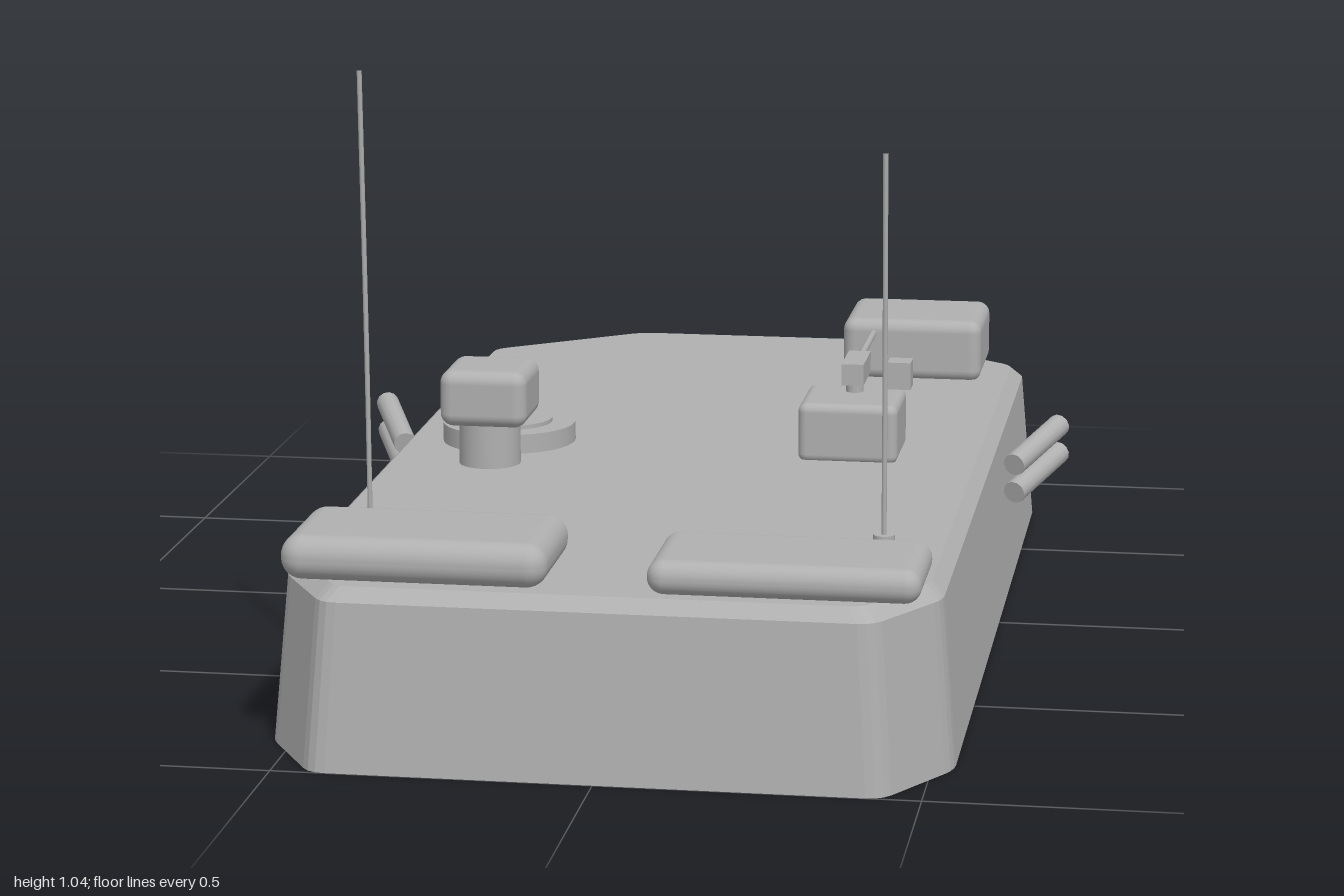
import * as THREE from 'three';
import { RoundedBoxGeometry } from 'three/addons/geometries/RoundedBoxGeometry.js';

const grey = new THREE.MeshStandardMaterial({ color: 0xb0b0b0 });
grey.name = 'plainGrey';

// Chamfered outline with slightly softened corners, counter-clockwise from above
function hullOutline() {
  const half = [[0.44, 1], [0.535, 0.84], [0.535, -0.8], [0.26, -1]];
  const corners = [...half, ...half.map(([x, z]) => [-x, z]).reverse()]
    .map(([x, z]) => new THREE.Vector2(x, z));
  const out = [];
  corners.forEach((c, i) => {
    const toward = (p) => c.clone().add(p.clone().sub(c).setLength(0.025));
    const curve = new THREE.QuadraticBezierCurve(
      toward(corners[(i + 7) % 8]), c, toward(corners[(i + 1) % 8]));
    out.push(...curve.getPoints(3));
  });
  return out;
}

// Tapered walls, bevelled rim, deck and underside
function hullGeometry() {
  const outline = hullOutline();
  const rings = [[0, 0], [0.264, 0.022], [0.285, 0.043]].map(([y, inset]) =>
    outline.map((p) => [p.x * (1 - inset / 0.535), y, p.y * (1 - inset)]));
  const pos = [];
  const tri = (a, b, c) => pos.push(...a, ...b, ...c);
  const n = outline.length;
  for (let i = 0; i < n; i++) {
    const j = (i + 1) % n;
    for (let k = 0; k < 2; k++) {
      const lo = rings[k], hi = rings[k + 1];
      tri(lo[i], lo[j], hi[j]);
      tri(lo[i], hi[j], hi[i]);
    }
    tri([0, 0.285, 0], rings[2][i], rings[2][j]);
    tri([0, 0, 0], rings[0][j], rings[0][i]);
  }
  const g = new THREE.BufferGeometry();
  g.setAttribute('position', new THREE.Float32BufferAttribute(pos, 3));
  g.computeVertexNormals();
  return g;
}

export function createModel() {
  const model = new THREE.Group();
  model.name = 'turret';

  const add = (name, geometry, x = 0, y = 0, z = 0) => {
    const mesh = new THREE.Mesh(geometry, grey);
    mesh.name = name;
    mesh.position.set(x, y, z);
    model.add(mesh);
    return mesh;
  };
  // Box given by its limits; r is the edge radius
  const box = (name, [x0, x1], [y0, y1], [z0, z1], r = 0) => {
    const size = [x1 - x0, y1 - y0, z1 - z0];
    const g = r ? new RoundedBoxGeometry(...size, 4, r) : new THREE.BoxGeometry(...size);
    return add(name, g, (x0 + x1) / 2, (y0 + y1) / 2, (z0 + z1) / 2);
  };
  const upright = (name, r, x, y0, y1, z, sides = 32) =>
    add(name, new THREE.CylinderGeometry(r, r, y1 - y0, sides), x, (y0 + y1) / 2, z);
  // Cylinder between two points
  const rod = (name, a, b, r, sides = 12) => {
    const from = new THREE.Vector3(...a), to = new THREE.Vector3(...b);
    const dir = to.clone().sub(from);
    const mesh = add(name, new THREE.CylinderGeometry(r, r, dir.length(), sides));
    mesh.position.copy(from).add(to).multiplyScalar(0.5);
    mesh.quaternion.setFromUnitVectors(new THREE.Vector3(0, 1, 0), dir.normalize());
    return mesh;
  };

  add('hull', hullGeometry());

  // Stowage on the deck
  box('frontBinRight', [-0.495, -0.08], [0.285, 0.355], [0.72, 0.953], 0.033);
  box('frontBinLeft', [0.073, 0.49], [0.285, 0.339], [0.74, 0.953], 0.026);
  box('rearBox', [0.19, 0.445], [0.28, 0.394], [-0.84, -0.62], 0.022);

  // Hatch and the sight beside it
  upright('hatchRing', 0.115, -0.325, 0.28, 0.318, -0.038, 40);
  upright('hatchLid', 0.075, -0.325, 0.3, 0.325, -0.038, 40);
  upright('sightStalk', 0.052, -0.325, 0.28, 0.37, 0.136);
  box('sightHead', [-0.398, -0.25], [0.36, 0.456], [0.062, 0.212], 0.022);

  // Gun on its pedestal
  box('gunPedestal', [0.19, 0.36], [0.28, 0.383], [-0.122, 0.045], 0.015);
  upright('gunPost', 0.015, 0.275, 0.38, 0.41, -0.07, 12);
  box('gunBody', [0.257, 0.295], [0.403, 0.44], [-0.135, -0.022]);
  box('ammoBox', [0.332, 0.372], [0.39, 0.437], [-0.103, -0.06]);
  rod('gunBarrel', [0.275, 0.425, -0.13], [0.275, 0.425, -0.355], 0.006);

  // Whip aerials with a slight backward bend
  for (const [x, top, tipZ] of [[-0.411, 1.04, 0.706], [0.406, 0.93, 0.702]]) {
    upright('aerialBase', 0.017, x, 0.28, 0.325, 0.676, 16);
    const path = new THREE.CatmullRomCurve3([
      new THREE.Vector3(x, 0.31, 0.676),
      new THREE.Vector3(x, 0.6, 0.684),
      new THREE.Vector3(x, top, tipZ),
    ]);
    add('aerialWhip', new THREE.TubeGeometry(path, 12, 0.004, 8));
  }

  // Paired launcher tubes on both flanks
  for (const side of [1, -1]) {
    for (const [dx, y, dz] of [[0, 0.235, 0], [0, 0.183, -0.01]]) {
      rod('launcherTube', [side * (0.543 + dx), y, -0.182 + dz],
        [side * (0.61 + dx), y + 0.037, -0.342 + dz], 0.02, 12);
    }
  }
  return model;
}
